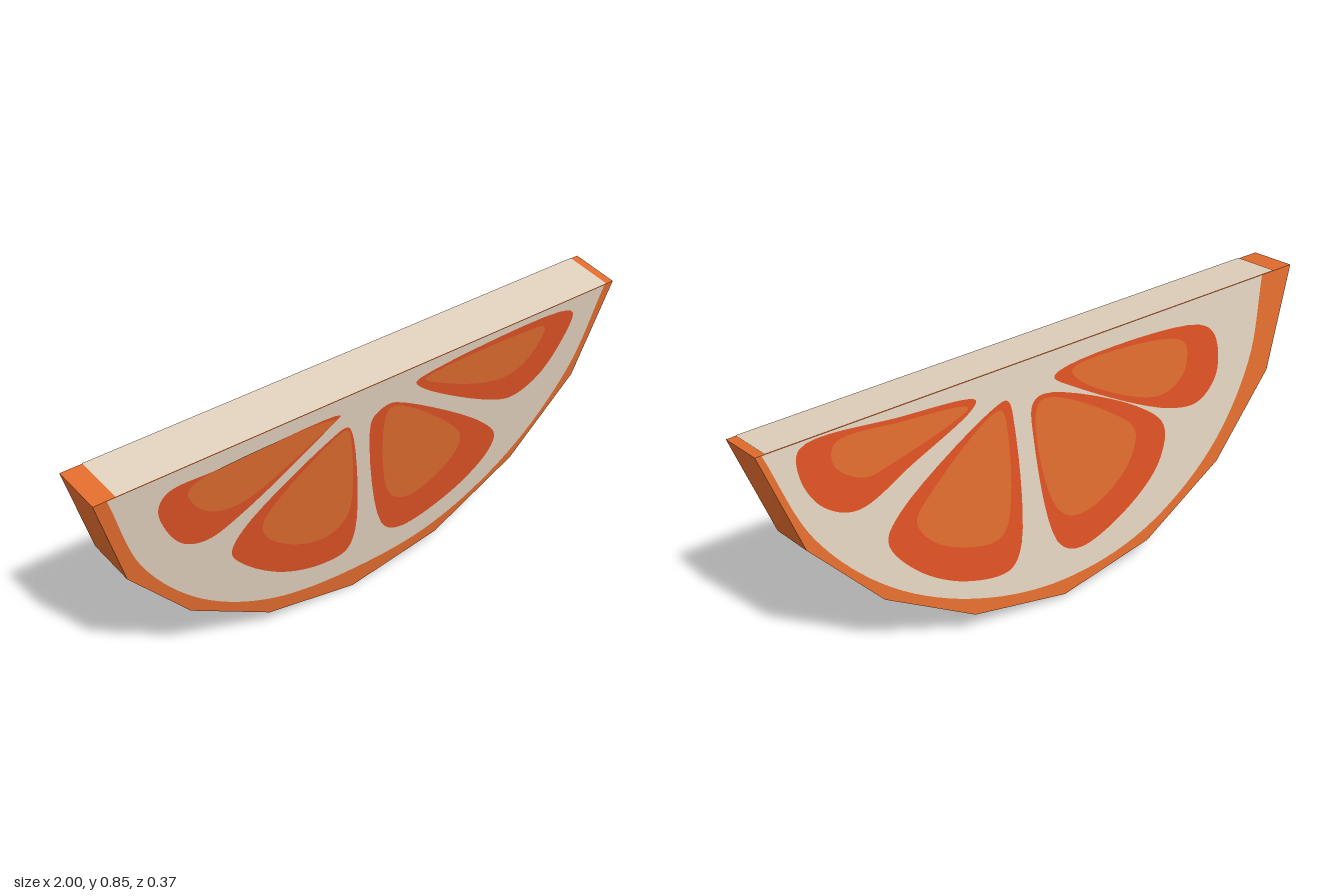
import * as THREE from 'three';
import { toCreasedNormals } from 'three/addons/utils/BufferGeometryUtils.js';

const mat = (name, color) => {
  const m = new THREE.MeshStandardMaterial({ color });
  m.name = name;
  return m;
};

const DEPTH = 0.168;

// Right half of the rind outline, from the bottom tip up to the cut edge
const HALF = [[0, -0.835], [0.342, -0.77], [0.65, -0.59], [0.88, -0.335], [0.995, 0]];

// Pith outlines, open along the straight cut
const FRONT_PITH = [[-0.95, 0], [-0.83, -0.31], [-0.61, -0.56], [-0.33, -0.71], [0, -0.755], [0.33, -0.72], [0.63, -0.56], [0.85, -0.3], [0.955, 0]];
const BACK_PITH = [[-0.87, 0], [-0.8, -0.28], [-0.62, -0.54], [-0.33, -0.725], [0, -0.78], [0.32, -0.72], [0.62, -0.56], [0.85, -0.31], [0.975, 0]];

// Each segment: outer membrane outline, then inner pulp outline
const FRONT_SEGMENTS = [
  [[[-0.13, -0.06], [-0.17, -0.09], [-0.465, -0.27], [-0.6, -0.32], [-0.69, -0.29], [-0.76, -0.19], [-0.78, -0.11], [-0.75, -0.065], [-0.57, -0.06]],
    [[-0.15, -0.067], [-0.18, -0.087], [-0.44, -0.22], [-0.535, -0.23], [-0.625, -0.19], [-0.68, -0.1], [-0.65, -0.07]]],
  [[[-0.1, -0.12], [-0.075, -0.155], [-0.02, -0.57], [-0.05, -0.65], [-0.145, -0.66], [-0.305, -0.61], [-0.465, -0.49], [-0.51, -0.42], [-0.465, -0.34], [-0.17, -0.145]],
    [[-0.1, -0.13], [-0.075, -0.2], [-0.06, -0.49], [-0.12, -0.54], [-0.225, -0.53], [-0.37, -0.435], [-0.4, -0.365], [-0.36, -0.3], [-0.15, -0.145]]],
  [[[0.06, -0.1], [0.11, -0.115], [0.47, -0.35], [0.55, -0.445], [0.525, -0.515], [0.39, -0.61], [0.175, -0.66], [0.095, -0.61], [-0.005, -0.18], [0.005, -0.125]],
    [[0.07, -0.115], [0.335, -0.3], [0.39, -0.38], [0.365, -0.45], [0.23, -0.53], [0.15, -0.52], [0.095, -0.46], [0.05, -0.17]]],
  [[[0.165, -0.06], [0.19, -0.048], [0.765, -0.03], [0.825, -0.06], [0.79, -0.165], [0.71, -0.265], [0.605, -0.305], [0.5, -0.275], [0.2, -0.1]],
    [[0.2, -0.06], [0.6, -0.048], [0.7, -0.065], [0.66, -0.155], [0.58, -0.2], [0.47, -0.19], [0.23, -0.085]]],
];
const BACK_SEGMENTS = [
  [[[0.86, -0.02], [0.87, -0.11], [0.81, -0.22], [0.7, -0.27], [0.5, -0.19], [0.28, -0.09], [0.265, -0.066], [0.53, -0.032]],
    [[0.75, -0.04], [0.76, -0.105], [0.67, -0.175], [0.565, -0.163], [0.295, -0.08], [0.525, -0.047]]],
  [[[0.21, -0.115], [0.155, -0.105], [0.137, -0.2], [0.153, -0.6], [0.2, -0.665], [0.356, -0.644], [0.525, -0.542], [0.616, -0.41], [0.565, -0.33]],
    [[0.185, -0.125], [0.165, -0.2], [0.2, -0.517], [0.253, -0.548], [0.447, -0.478], [0.513, -0.38], [0.45, -0.3]]],
  [[[0.064, -0.144], [0.02, -0.126], [-0.33, -0.285], [-0.434, -0.39], [-0.4, -0.514], [-0.245, -0.635], [-0.064, -0.69], [0.013, -0.64], [0.072, -0.262]],
    [[0.04, -0.145], [-0.24, -0.283], [-0.316, -0.368], [-0.275, -0.474], [-0.14, -0.563], [-0.04, -0.564], [0.024, -0.486]]],
  [[[-0.022, -0.084], [-0.078, -0.063], [-0.595, -0.088], [-0.66, -0.144], [-0.66, -0.276], [-0.583, -0.349], [-0.46, -0.335], [-0.092, -0.139]],
    [[-0.09, -0.08], [-0.476, -0.099], [-0.538, -0.14], [-0.52, -0.235], [-0.42, -0.277], [-0.121, -0.131]]],
];

// Flat face from a smooth curve, lifted off the front (side 1) or back (side -1)
function face(points, closed, side, lift) {
  const pts = points.map(([x, y]) => new THREE.Vector3(x * side, y, 0));
  const curve = new THREE.CatmullRomCurve3(pts, closed, 'centripetal');
  const outline = curve.getPoints(64).map((p) => new THREE.Vector2(p.x, p.y));
  if (closed) outline.pop();
  const geo = new THREE.ShapeGeometry(new THREE.Shape(outline));
  if (side < 0) geo.rotateY(Math.PI);
  return geo.translate(0, 0, side > 0 ? lift : -DEPTH - lift);
}

export function createModel() {
  const rind = mat('rind orange', 0xe26c2e);
  const pith = mat('pith cream', 0xe0d0bc);
  const membrane = mat('deep orange', 0xdc5124);
  const pulp = mat('pulp orange', 0xdd6b2f);

  const model = new THREE.Group();
  model.name = 'citrusSlice';
  const slice = new THREE.Group();
  slice.name = 'slice';
  slice.rotation.set(0.13, -0.078, 0, 'YXZ');
  slice.position.set(-0.0075, 0.83, 0.11);
  model.add(slice);
  const add = (name, geo, material) => {
    const mesh = new THREE.Mesh(geo, material);
    mesh.name = name;
    slice.add(mesh);
  };

  // Rind: faceted half disc with softened outer wall
  const left = HALF.slice(1).reverse().map(([x, y]) => [-x, y]);
  const outline = [...left, ...HALF].map(([x, y]) => new THREE.Vector2(x, y));
  const body = new THREE.ExtrudeGeometry(new THREE.Shape(outline), { depth: DEPTH, bevelEnabled: false });
  body.translate(0, 0, -DEPTH);
  add('rind', toCreasedNormals(body, 0.6), rind);

  // Pith along the straight cut
  const cut = new THREE.PlaneGeometry(1.885, DEPTH);
  cut.rotateX(-Math.PI / 2).translate(0.022, 0.002, -DEPTH / 2);
  add('cutPith', cut, pith);

  // Pith and segments on both faces
  const sides = [['front', 1, FRONT_PITH, FRONT_SEGMENTS], ['back', -1, BACK_PITH, BACK_SEGMENTS]];
  for (const [name, side, pithLine, segments] of sides) {
    add(name + 'Pith', face(pithLine, false, side, 0.002), pith);
    segments.forEach(([outer, inner], i) => {
      add(`${name}Segment${i + 1}`, face(outer, true, side, 0.004), membrane);
      add(`${name}Pulp${i + 1}`, face(inner, true, side, 0.006), pulp);
    });
  }

  // Darker blush on one lower facet of the rind
  const [a, b] = [HALF[1], HALF[2]];
  const corners = [[0, 0.15], [0.35, 0.1], [0.87, 1], [0, 1]].flatMap(([s, t]) => [
    a[0] + (b[0] - a[0]) * s + 0.0015,
    a[1] + (b[1] - a[1]) * s - 0.0025,
    -DEPTH * t,
  ]);
  const blush = new THREE.BufferGeometry();
  blush.setAttribute('position', new THREE.Float32BufferAttribute(corners, 3));
  blush.setIndex([0, 2, 1, 0, 3, 2]);
  blush.computeVertexNormals();
  add('rindBlush', blush, membrane);

  return model;
}
